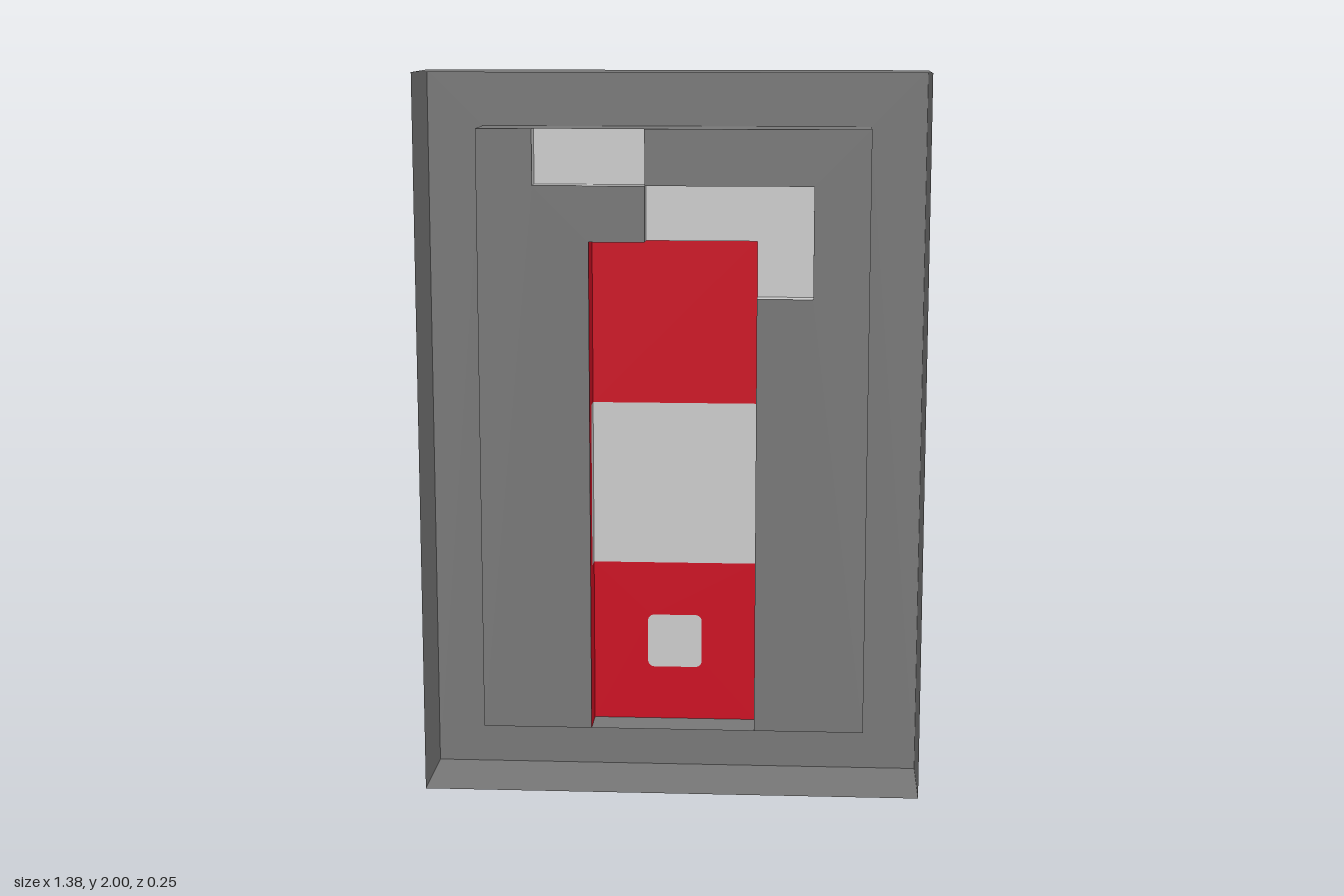
import * as THREE from 'three';
import { mergeGeometries } from 'three/addons/utils/BufferGeometryUtils.js';

const U = 2 / 13; // grid unit of the design
// Depth levels, from the open front rim to the back rim
const RIM = 0.127, FLOOR = 0.023, MID = -0.03, TOP = -0.081, BACK = -0.127;

const material = (name, color) => {
  const m = new THREE.MeshStandardMaterial({ color, side: THREE.DoubleSide });
  m.name = name;
  return m;
};

const polygon = (pts, Type = THREE.Shape) =>
  new Type(pts.map(([x, y]) => new THREE.Vector2(x * U, y * U)));

const rect = (x0, y0, x1, y1) => [[x0, y0], [x1, y0], [x1, y1], [x0, y1]];

// Flat face at a given depth
function face(pts, z, hole) {
  const shape = polygon(pts);
  if (hole) shape.holes.push(hole);
  return new THREE.ShapeGeometry(shape).toNonIndexed().translate(0, 0, z);
}

// Straight walls along a path of grid points, between two depths
function walls(path, z0, z1) {
  const v = [];
  for (let i = 0; i < path.length - 1; i++) {
    const [ax, ay] = path[i].map((c) => c * U);
    const [bx, by] = path[i + 1].map((c) => c * U);
    v.push(ax, ay, z0, bx, by, z0, bx, by, z1, ax, ay, z0, bx, by, z1, ax, ay, z1);
  }
  const g = new THREE.BufferGeometry();
  g.setAttribute('position', new THREE.Float32BufferAttribute(v, 3));
  g.setAttribute('uv', new THREE.Float32BufferAttribute(new Float32Array(v.length / 3 * 2), 2));
  g.computeVertexNormals();
  return g;
}

const closed = (pts) => [...pts, pts[0]];

// Small square with rounded corners
function roundedSquare(Type) {
  const p = new Type(), a = 0.5 * U, r = 0.018, c = 2.5 * U;
  p.absarc(a - r, c + a - r, r, 0, Math.PI / 2);
  p.absarc(-a + r, c + a - r, r, Math.PI / 2, Math.PI);
  p.absarc(-a + r, c - a + r, r, Math.PI, Math.PI * 1.5);
  p.absarc(a - r, c - a + r, r, Math.PI * 1.5, Math.PI * 2);
  p.closePath();
  return p;
}

export function createModel() {
  const group = new THREE.Group();
  const grey = material('casing grey', 0x777777);
  const red = material('block red', 0xcb0f22);
  const white = material('light grey', 0xcbcbcb);

  const add = (name, mat, ...geos) => {
    const mesh = new THREE.Mesh(mergeGeometries(geos), mat);
    mesh.name = name;
    group.add(mesh);
  };

  // Thin casing, open at the front, with a recess sunk into its back
  const outer = rect(-4.5, 0, 4.5, 13);
  const recess = rect(-3.5, 1, 3.5, 12);
  add('outerWalls', grey, walls(closed(outer), BACK, RIM));
  add('backRim', grey, face(outer, BACK, polygon(recess, THREE.Path)));
  add('recessWalls', grey, walls(closed(recess), BACK, FLOOR));

  // Recess floor, cut away where the raised shapes are pressed in
  add('recessFloor', grey,
    face([[-3.5, 1], [-1.5, 1], [-1.5, 10], [-0.5, 10], [-0.5, 11], [-2.5, 11], [-2.5, 12], [-3.5, 12]], FLOOR),
    face([[3.5, 1], [3.5, 12], [-0.5, 12], [-0.5, 11], [2.5, 11], [2.5, 9], [1.5, 9], [1.5, 1]], FLOOR));

  // Tall red block
  add('redBlockFaces', red,
    face(rect(-1.5, 1, 1.5, 4), TOP, roundedSquare(THREE.Path)),
    face(rect(-1.5, 7, 1.5, 10), TOP));
  add('redBlockWalls', red,
    walls([[-1.5, 1], [-1.5, 4]], TOP, FLOOR),
    walls([[-1.5, 4], [-1.5, 7]], MID, FLOOR),
    walls([[-1.5, 7], [-1.5, 10], [-0.5, 10]], TOP, FLOOR),
    walls([[-0.5, 10], [1.5, 10], [1.5, 9]], TOP, MID),
    walls([[1.5, 9], [1.5, 7]], TOP, FLOOR),
    walls([[1.5, 7], [1.5, 4]], MID, FLOOR),
    walls([[1.5, 4], [1.5, 1]], TOP, FLOOR));

  // Light band wrapping part way down the sides, and the small square
  add('band', white,
    face(rect(-1.5, 4, 1.5, 7), TOP),
    walls([[-1.5, 4], [-1.5, 7]], TOP, MID),
    walls([[1.5, 4], [1.5, 7]], TOP, MID));
  add('smallSquare', white,
    new THREE.ShapeGeometry(roundedSquare(THREE.Shape)).translate(0, 0, TOP));

  // Low light shapes stepping away above the block
  add('upperStep', white,
    face(rect(-2.5, 11, -0.5, 12), MID),
    walls([[-2.5, 12], [-2.5, 11], [-0.5, 11], [-0.5, 12]], MID, FLOOR));
  add('lowerStep', white,
    face([[-0.5, 10], [1.5, 10], [1.5, 9], [2.5, 9], [2.5, 11], [-0.5, 11]], MID),
    walls([[-0.5, 10], [-0.5, 11], [2.5, 11], [2.5, 9], [1.5, 9]], MID, FLOOR));

  return group;
}
